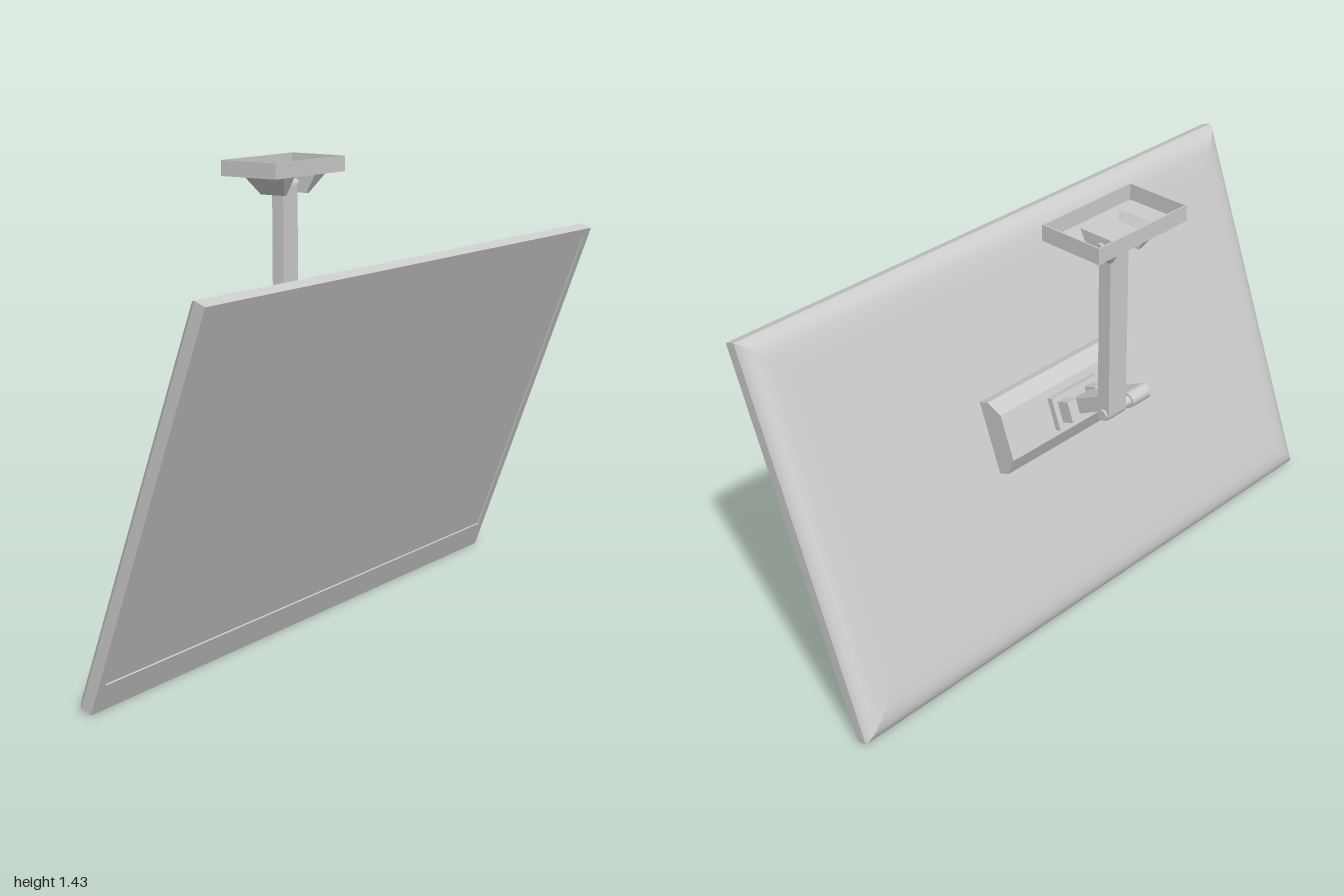
import * as THREE from 'three';

const grey = new THREE.MeshStandardMaterial({ color: 0xcccccc });
const sheet = new THREE.MeshStandardMaterial({ color: 0xcccccc, side: THREE.DoubleSide });
const TILT = THREE.MathUtils.degToRad(20.1);
const W = 2, H = 1.244;

function add(parent, name, geometry, material = grey) {
  const mesh = new THREE.Mesh(geometry, material);
  mesh.name = name;
  parent.add(mesh);
  return mesh;
}

// Box given by its limits on each axis
function box(parent, name, x0, x1, y0, y1, z0, z1) {
  const mesh = add(parent, name, new THREE.BoxGeometry(x1 - x0, y1 - y0, z1 - z0));
  mesh.position.set((x0 + x1) / 2, (y0 + y1) / 2, (z0 + z1) / 2);
  return mesh;
}

// Cylinder lying along x
function pin(parent, name, x0, x1, y, z, r) {
  const mesh = add(parent, name, new THREE.CylinderGeometry(r, r, x1 - x0, 20));
  mesh.rotation.z = Math.PI / 2;
  mesh.position.set((x0 + x1) / 2, y, z);
}

// Profile of [z, y] points extruded along x
function extrudeX(points, x0, x1) {
  const shape = new THREE.Shape(points.map(([z, y]) => new THREE.Vector2(-z, y)));
  const geo = new THREE.ExtrudeGeometry(shape, { depth: x1 - x0, bevelEnabled: false });
  return geo.rotateY(Math.PI / 2).translate(x0, 0, 0);
}

// Flat bar with round ends between two [z, y] pivots
function bar(parent, name, a, b, r, x0, x1) {
  const dir = Math.atan2(b[1] - a[1], b[0] - a[0]);
  const points = [];
  for (const [c, start] of [[a, dir + Math.PI / 2], [b, dir - Math.PI / 2]]) {
    for (let i = 0; i <= 8; i++) {
      const t = start + (Math.PI * i) / 8;
      points.push([c[0] + r * Math.cos(t), c[1] + r * Math.sin(t)]);
    }
  }
  add(parent, name, extrudeX(points, x0, x1));
}

// One mitred side of the rounded back shell; profile holds [inset, depth]
function shellSide(k, profile) {
  const corners = [[1, 1], [-1, 1], [-1, -1], [1, -1]];
  const pos = [], index = [];
  profile.forEach(([inset, depth], i) => {
    for (const [sx, sy] of [corners[k], corners[(k + 1) % 4]]) {
      pos.push(sx * (W / 2 - inset), H / 2 + sy * (H / 2 - inset), -depth);
    }
    if (i) {
      const a = 2 * i - 2;
      index.push(a, a + 2, a + 3, a, a + 3, a + 1);
    }
  });
  const geo = new THREE.BufferGeometry();
  geo.setAttribute('position', new THREE.Float32BufferAttribute(pos, 3));
  geo.setIndex(index);
  geo.computeVertexNormals();
  return geo;
}

// Open tapered pocket: four walls and a bottom between two [x0, x1, z0, z1] rectangles
function pocket(top, bottom, yTop, yBottom) {
  const ring = ([x0, x1, z0, z1], y) => [[x0, y, z0], [x0, y, z1], [x1, y, z1], [x1, y, z0]];
  const geo = new THREE.BufferGeometry();
  const pos = [...ring(top, yTop), ...ring(bottom, yBottom)].flat();
  geo.setAttribute('position', new THREE.Float32BufferAttribute(pos, 3));
  const index = [4, 6, 5, 4, 7, 6];
  for (let i = 0; i < 4; i++) {
    const j = (i + 1) % 4;
    index.push(i, i + 4, j + 4, i, j + 4, j);
  }
  geo.setIndex(index);
  const flat = geo.toNonIndexed();
  flat.computeVertexNormals();
  return flat;
}

function rectPath(path, x0, x1, y0, y1) {
  path.moveTo(x0, y0);
  path.lineTo(x1, y0);
  path.lineTo(x1, y1);
  path.lineTo(x0, y1);
  path.closePath();
  return path;
}

function createDisplay() {
  const g = new THREE.Group();
  g.name = 'display';

  // Bezel around a slightly recessed panel
  const frame = rectPath(new THREE.Shape(), -W / 2, W / 2, 0, H);
  frame.holes.push(rectPath(new THREE.Path(), -0.97, 0.97, 0.09, H - 0.03));
  const bezel = add(g, 'bezel', new THREE.ExtrudeGeometry(frame, { depth: 0.005, bevelEnabled: false }));
  bezel.position.z = -0.005;
  box(g, 'screenPanel', -W / 2, W / 2, 0, H, -0.037, -0.005);

  // Rounded back shell
  const profile = [[0, 0.037], [0.006, 0.046], [0.016, 0.055], [0.031, 0.063],
    [0.053, 0.069], [0.08, 0.0715], [0.11, 0.0725]];
  for (let k = 0; k < 4; k++) add(g, 'backShellSide', shellSide(k, profile));
  const back = add(g, 'backPanel', new THREE.PlaneGeometry(W - 0.22, H - 0.22));
  back.rotation.y = Math.PI;
  back.position.set(0, H / 2, -0.0725);

  // Chamfered mounting block, plate and hinge ears
  const c = 0.656;
  add(g, 'mountBlock', extrudeX([[-0.065, c - 0.117], [-0.065, c + 0.117], [-0.108, c + 0.117],
    [-0.152, c + 0.078], [-0.152, c - 0.07], [-0.11, c - 0.117]], -0.289, 0.287));
  box(g, 'hingePlate', -0.1, 0.097, c - 0.052, c + 0.052, -0.172, -0.15);
  for (const s of [-1, 1]) {
    const x = s * 0.06;
    box(g, 'hingeEar', x - 0.018, x + 0.018, c - 0.033, c + 0.035, -0.216, -0.17);
  }
  pin(g, 'tiltPin', -0.07, 0.07, c, -0.196, 0.015);

  g.rotation.x = TILT;
  g.position.z = -0.076;
  return g;
}

function createCeilingMount() {
  const g = new THREE.Group();
  g.name = 'ceilingMount';
  const mid = 0.105, elbow = [-0.245, 0.8];

  // Swing arm, elbow joint and drop column
  bar(g, 'swingArm', [-0.036, 0.688], elbow, 0.024, -0.04, 0.038);
  pin(g, 'elbowPin', -0.045, 0.149, elbow[1], elbow[0], 0.017);
  bar(g, 'dropColumn', elbow, [-0.245, 1.345], 0.0215, 0.068, 0.142);
  pin(g, 'columnPin', 0.045, 0.165, 1.348, -0.245, 0.016);

  // Open tray: thin walls and a floor with two pocket openings
  const x0 = -0.075, x1 = 0.283, z0 = -0.352, z1 = -0.143, y0 = 1.382, y1 = 1.431;
  const wall = rectPath(new THREE.Shape(), x0, x1, -z1, -z0);
  const floorShape = wall;
  const pockets = [-1, 1].map((s) => {
    const xs = (a, b) => [mid + s * a, mid + s * b].sort((p, q) => p - q);
    return { top: [...xs(0.052, 0.109), -0.325, -0.166], bottom: [...xs(0.052, 0.064), -0.29, -0.2] };
  });
  for (const { top, bottom } of pockets) {
    floorShape.holes.push(rectPath(new THREE.Path(), top[0], top[1], -top[3], -top[2]));
    add(g, 'columnPocket', pocket(top, bottom, y0, 1.32), sheet);
  }
  const floor = add(g, 'trayFloor', new THREE.ShapeGeometry(floorShape), sheet);
  floor.rotation.x = -Math.PI / 2;
  floor.position.y = y0;
  const t = 0.004;
  for (const x of [x0, x1 - t]) box(g, 'traySide', x, x + t, y0, y1, z0, z1);
  for (const z of [z0, z1 - t]) box(g, 'trayEnd', x0 + t, x1 - t, y0, y1, z, z + t);
  return g;
}

export function createModel() {
  const model = new THREE.Group();
  model.name = 'ceilingMountedDisplay';
  model.add(createDisplay(), createCeilingMount());
  return model;
}
